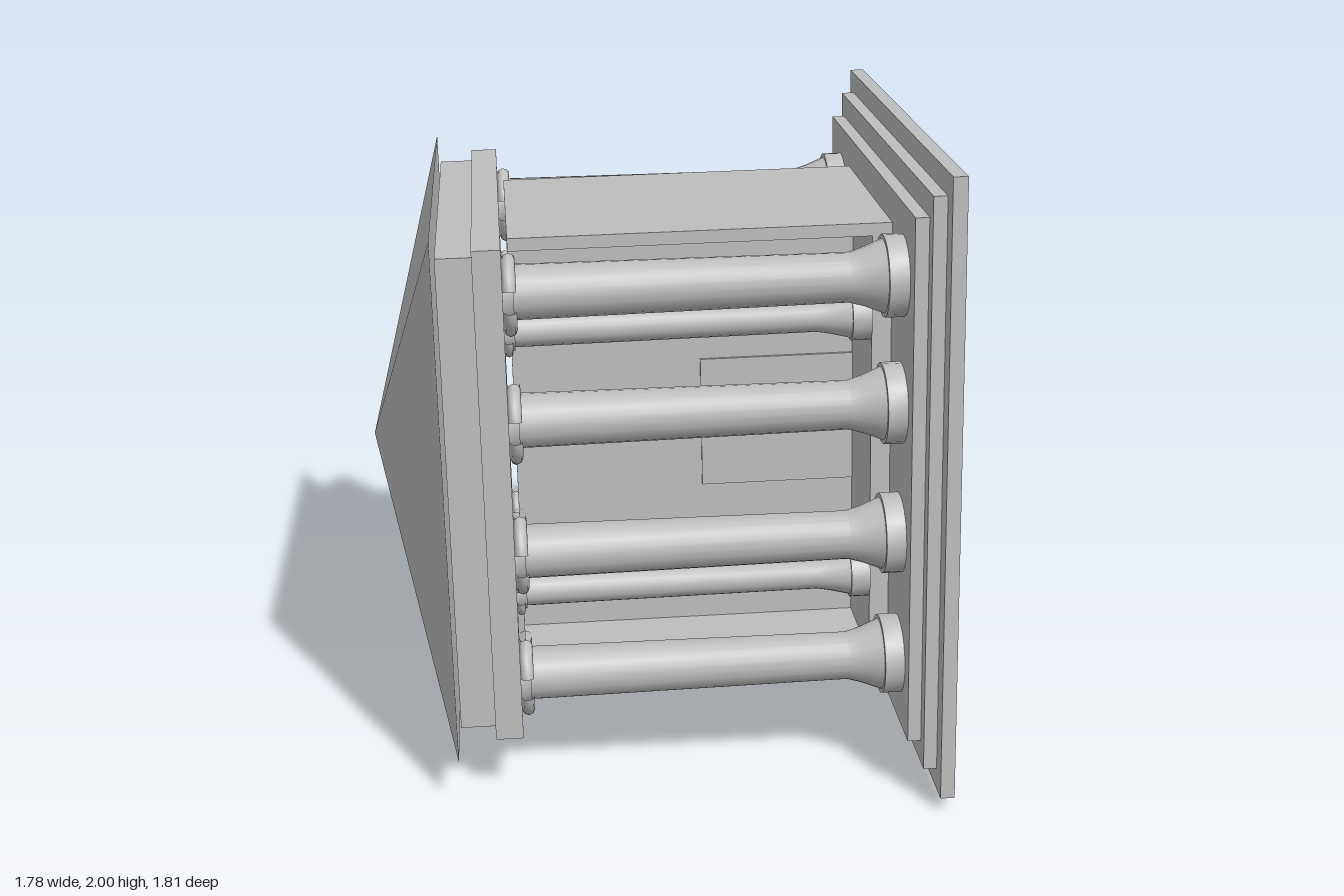
import * as THREE from 'three';
import { toCreasedNormals } from 'three/addons/utils/BufferGeometryUtils.js';

// A small temple lying on its side: its foot points to +x, its roof to -x.
export function createModel() {
  const stone = new THREE.MeshStandardMaterial({ color: 0xbebebe });
  stone.name = 'grey stone';

  const temple = new THREE.Group();
  temple.name = 'temple';
  temple.position.set(0, 1, 0);
  temple.rotation.set(-0.0235, 0, 0.0235);

  const add = (parent, name, geometry) => {
    const mesh = new THREE.Mesh(geometry, stone);
    mesh.name = name;
    parent.add(mesh);
    return mesh;
  };

  // Block from x0 to x1 with half sizes in y and z, centred at height y
  const block = (name, x0, x1, halfY, halfZ, y = 0) => {
    const mesh = add(temple, name, new THREE.BoxGeometry(x1 - x0, halfY * 2, halfZ * 2));
    mesh.position.set((x0 + x1) / 2, y, 0);
  };

  // Stepped foot
  block('lowerStep', 0.823, 0.867, 0.977, 0.882);
  block('middleStep', 0.782, 0.823, 0.908, 0.815);
  block('upperStep', 0.741, 0.782, 0.835, 0.765);

  // Inner chamber: floor, two side walls, cross wall and door
  block('chamberFloor', 0.68, 0.741, 0.735, 0.405);
  for (const s of [-1, 1]) block('sideWall', -0.43, 0.68, 0.02, 0.405, s * 0.715);
  block('crossWall', -0.43, 0.68, 0.695, 0.045);
  block('door', 0.18, 0.68, 0.217, 0.054);

  // Beams under the roof
  block('lowerBeam', -0.535, -0.45, 0.778, 0.708);
  block('upperBeam', -0.642, -0.535, 0.75, 0.67);

  // Pyramid roof with its tip at -x
  const roof = new THREE.ConeGeometry(Math.SQRT2, 0.237, 4, 1, false, Math.PI / 4);
  roof.rotateZ(Math.PI / 2);
  roof.scale(1, 0.825, 0.755);
  roof.translate(-0.652 - 0.237 / 2, 0, 0);
  add(temple, 'roof', toCreasedNormals(roof, 0.1));

  // Column along x: collar, shaft, flare and round foot, with four curls at the roof end
  const makeColumn = (name, y, z, k, end) => {
    const column = new THREE.Group();
    column.name = name;
    const profile = [
      [0, -0.45], [0.098, -0.45], [0.098, -0.418], [0.083, -0.418],
      [0.075, end - 0.165], [0.088, end - 0.12], [0.112, end - 0.06],
      [0.125, end - 0.06], [0.125, end], [0, end],
    ].map(([r, x]) => new THREE.Vector2(r * k, x));
    const body = new THREE.LatheGeometry(profile, 20);
    body.rotateZ(-Math.PI / 2);
    add(column, 'columnBody', toCreasedNormals(body, 0.4));

    for (let i = 0; i < 4; i++) {
      const curl = new THREE.TorusGeometry(0.112 * k, 0.02 * k, 8, 8, Math.PI / 3);
      curl.rotateZ(Math.PI / 12 + i * Math.PI / 2);
      curl.rotateY(Math.PI / 2);
      const mesh = add(column, 'curl', curl);
      mesh.position.x = -0.45 + 0.02 * k;
    }
    column.position.set(0, y, z);
    temple.add(column);
  };

  for (const z of [-1, 1]) {
    for (const y of [-0.617, -0.207, 0.217, 0.617]) makeColumn('outerColumn', y, z * 0.58, 1, 0.741);
    for (const y of [-0.432, 0.432]) makeColumn('porchColumn', y, z * 0.35, 0.63, 0.68);
  }

  const model = new THREE.Group();
  model.name = 'model';
  model.add(temple);
  return model;
}
